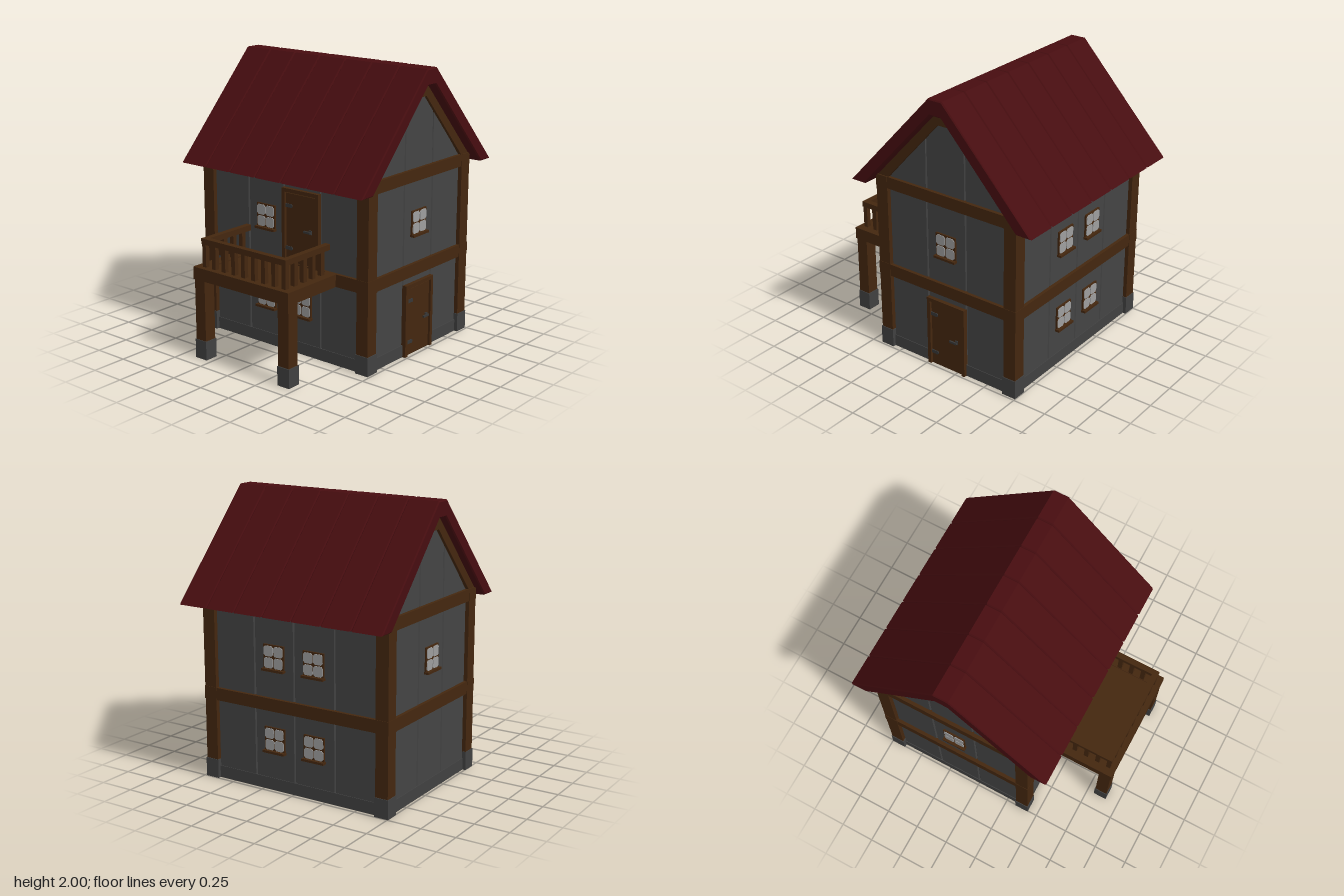
import * as THREE from 'three';

const mat = (name, color) => {
  const m = new THREE.MeshStandardMaterial({ color });
  m.name = name;
  return m;
};

export function createModel() {
  const wood = mat('dark wood', 0x44270f);
  const plaster = mat('grey wall', 0x444444);
  const stone = mat('grey stone', 0x414141);
  const tile = mat('red roof', 0x470d10);
  const pane = mat('pale glass', 0x9e9e9e);
  const metal = mat('dark metal', 0x363636);

  const model = new THREE.Group();
  model.name = 'house';
  const house = new THREE.Group();
  house.name = 'building';
  house.position.set(-0.01, 0, -0.16);
  model.add(house);

  const W = 0.74, D = 0.583, POST = 0.095;

  const box = (parent, name, m, w, h, d, x, y, z) => {
    const mesh = new THREE.Mesh(new THREE.BoxGeometry(w, h, d), m);
    mesh.name = name;
    mesh.position.set(x, y, z);
    parent.add(mesh);
    return mesh;
  };
  // Extruded outline with a chamfered rim, kept inside its outline; front cap at z = 0
  const slab = (parent, name, m, pts, depth, bevel) => {
    const shape = new THREE.Shape(pts.map(([x, y]) => new THREE.Vector2(x, y)));
    const geo = new THREE.ExtrudeGeometry(shape, {
      depth: depth - 2 * bevel, bevelEnabled: bevel > 0, bevelThickness: bevel,
      bevelSize: bevel, bevelOffset: -bevel, bevelSegments: 1,
    });
    geo.translate(0, 0, bevel - depth);
    const mesh = new THREE.Mesh(geo, m);
    mesh.name = name;
    parent.add(mesh);
    return mesh;
  };
  const rect = (x0, y0, x1, y1) => [[x0, y0], [x1, y0], [x1, y1], [x0, y1]];

  // Window: frame, four cut-corner panes and a sill, facing local +z
  const addWindow = (parent, u, y) => {
    const g = new THREE.Group();
    g.name = 'window';
    g.position.set(u, y, 0);
    parent.add(g);
    box(g, 'windowFrame', wood, 0.164, 0.17, 0.02, 0, 0, -0.022);
    const a = 0.036, c = 0.012;
    const outline = [[-a + c, -a], [a - c, -a], [a, -a + c], [a, a - c],
      [a - c, a], [-a + c, a], [-a, a - c], [-a, -a + c]];
    for (const sx of [-1, 1]) for (const sy of [-1, 1]) {
      slab(g, 'windowPane', pane, outline, 0.006, 0).position.set(sx * 0.0395, sy * 0.0405, -0.007);
    }
    box(g, 'windowSill', wood, 0.175, 0.016, 0.04, 0, -0.088, -0.01);
  };

  // Door: frame, leaf, two hinges and a lever, facing local +z
  const addDoor = (parent, u, y) => {
    const g = new THREE.Group();
    g.name = 'door';
    g.position.set(u, y, 0);
    parent.add(g);
    for (const s of [-1, 1]) box(g, 'doorJamb', wood, 0.026, 0.52, 0.04, s * 0.147, 0.26, -0.015);
    box(g, 'doorLintel', wood, 0.268, 0.026, 0.04, 0, 0.507, -0.015);
    slab(g, 'doorLeaf', wood, rect(-0.131, 0, 0.131, 0.491), 0.03, 0.005).position.z = -0.006;
    for (const h of [0.1, 0.4]) {
      box(g, 'hingeStrap', metal, 0.045, 0.024, 0.008, -0.106, h, -0.003);
      const tip = new THREE.Mesh(new THREE.CylinderGeometry(0.014, 0.014, 0.008, 10), metal);
      tip.name = 'hingeTip';
      tip.rotation.x = Math.PI / 2;
      tip.position.set(-0.084, h, -0.003);
      g.add(tip);
    }
    box(g, 'latchPlate', metal, 0.022, 0.028, 0.01, 0.09, 0.245, -0.002);
    box(g, 'latchLever', metal, 0.06, 0.014, 0.012, 0.07, 0.245, 0.012);
  };

  // One wall: chamfered planks for both floors, a plinth and two beams
  const addWall = (name, angle, half, out, planks) => {
    const g = new THREE.Group();
    g.name = name;
    g.rotation.y = angle;
    house.add(g);
    const face = new THREE.Group();
    face.name = name + 'Face';
    face.position.z = out;
    g.add(face);
    const inner = half - POST, step = (2 * inner) / planks;
    for (let i = 0; i < planks; i++) {
      const x = -inner + i * step;
      for (const [y0, y1] of [[0.02, 0.6], [0.62, 1.27]]) {
        slab(face, 'wallPlank', plaster, rect(x, y0, x + step, y1), 0.055, 0.008).position.z = -0.024;
      }
    }
    box(face, 'plinth', stone, 2 * inner, 0.087, 0.075, 0, 0.0435, -0.0565);
    box(face, 'middleBeam', wood, 2 * inner - 0.006, 0.088, 0.09, 0, 0.615, -0.045);
    box(face, 'upperBeam', wood, 2 * half - 0.012, 0.085, 0.09, 0, 1.28, -0.045);
    return face;
  };

  const front = addWall('frontWall', 0, W, D, 4);
  const back = addWall('backWall', Math.PI, W, D, 4);
  const right = addWall('rightWall', Math.PI / 2, D, W, 3);
  const left = addWall('leftWall', -Math.PI / 2, D, W, 3);

  addDoor(front, 0.16, 0.66);
  addDoor(right, 0, 0);
  addWindow(front, -0.16, 0.945);
  for (const u of [-0.16, 0.16]) {
    addWindow(front, u, 0.368);
    addWindow(back, u, 0.368);
    addWindow(back, u, 0.945);
  }
  addWindow(left, 0, 0.945);
  addWindow(right, 0, 0.945);

  // Corner posts with stone feet and joint blocks
  for (const sx of [-1, 1]) for (const sz of [-1, 1]) {
    const x = sx * (W - POST / 2), z = sz * (D - POST / 2);
    box(house, 'cornerPost', wood, POST, 1.14, POST, x, 0.69, z);
    box(house, 'cornerFoot', stone, 0.105, 0.135, 0.105, x, 0.0675, z);
    box(house, 'cornerJoint', wood, 0.1, 0.092, 0.1, x, 0.615, z);
    box(house, 'cornerCap', wood, 0.1, 0.085, 0.097, x, 1.28, z);
  }

  // Gables: three planks and a bent trim below the roof
  const trim = [[0.571, 1.318], [0.042, 1.888], [-0.042, 1.888], [-0.571, 1.318],
    [-0.485, 1.318], [-0.043, 1.8], [0.043, 1.8], [0.485, 1.318]];
  for (const face of [left, right]) {
    const planks = [
      [[-0.5, 1.3], [-0.16, 1.3], [-0.16, 1.69]],
      [[-0.16, 1.3], [0.16, 1.3], [0.16, 1.69], [0.05, 1.82], [-0.05, 1.82], [-0.16, 1.69]],
      [[0.16, 1.3], [0.5, 1.3], [0.16, 1.69]],
    ];
    for (const p of planks) slab(face, 'gablePlank', plaster, p, 0.055, 0.008).position.z = -0.024;
    slab(face, 'gableTrim', wood, trim, 0.09, 0).position.z = -0.004;
  }

  // Roof: seven bent strips with chamfered seams
  const roof = new THREE.Group();
  roof.name = 'roof';
  roof.rotation.y = Math.PI / 2;
  roof.position.x = 0.01;
  house.add(roof);
  const chevron = [[0.745, 1.26], [0.055, 2], [-0.055, 2], [-0.745, 1.26],
    [-0.627, 1.26], [-0.042, 1.888], [0.042, 1.888], [0.627, 1.26]];
  const strip = 1.6 / 7;
  for (let i = 0; i < 7; i++) {
    slab(roof, 'roofStrip', tile, chevron, strip, 0.008).position.z = -0.8 + (i + 1) * strip;
  }

  // Balcony: framed floor on two posts
  const balcony = new THREE.Group();
  balcony.name = 'balcony';
  balcony.position.set(0.045, 0, D);
  house.add(balcony);
  box(balcony, 'balconyFloor', wood, 0.75, 0.07, 0.41, 0, 0.615, 0.2);
  box(balcony, 'balconyFrontBeam', wood, 0.85, 0.088, 0.09, 0, 0.615, 0.437);
  for (const s of [-1, 1]) {
    box(balcony, 'balconySideBeam', wood, 0.09, 0.088, 0.392, s * 0.38, 0.615, 0.196);
    box(balcony, 'balconyPost', wood, 0.09, 0.46, 0.09, s * 0.374, 0.35, 0.43);
    box(balcony, 'balconyFoot', stone, 0.1, 0.135, 0.1, s * 0.374, 0.0675, 0.43);
    // Side railing
    box(balcony, 'sideRail', wood, 0.042, 0.04, 0.41, s * 0.355, 0.84, 0.205);
    for (let i = 1; i < 5; i++) {
      box(balcony, 'sideBaluster', wood, 0.033, 0.17, 0.033, s * 0.355, 0.74, 0.43 - i * 0.09);
    }
  }
  // Front railing
  box(balcony, 'frontRail', wood, 0.752, 0.04, 0.042, 0, 0.84, 0.427);
  for (let i = 0; i < 9; i++) {
    box(balcony, 'frontBaluster', wood, 0.033, 0.17, 0.033, -0.355 + i * 0.08875, 0.74, 0.428);
  }

  return model;
}
